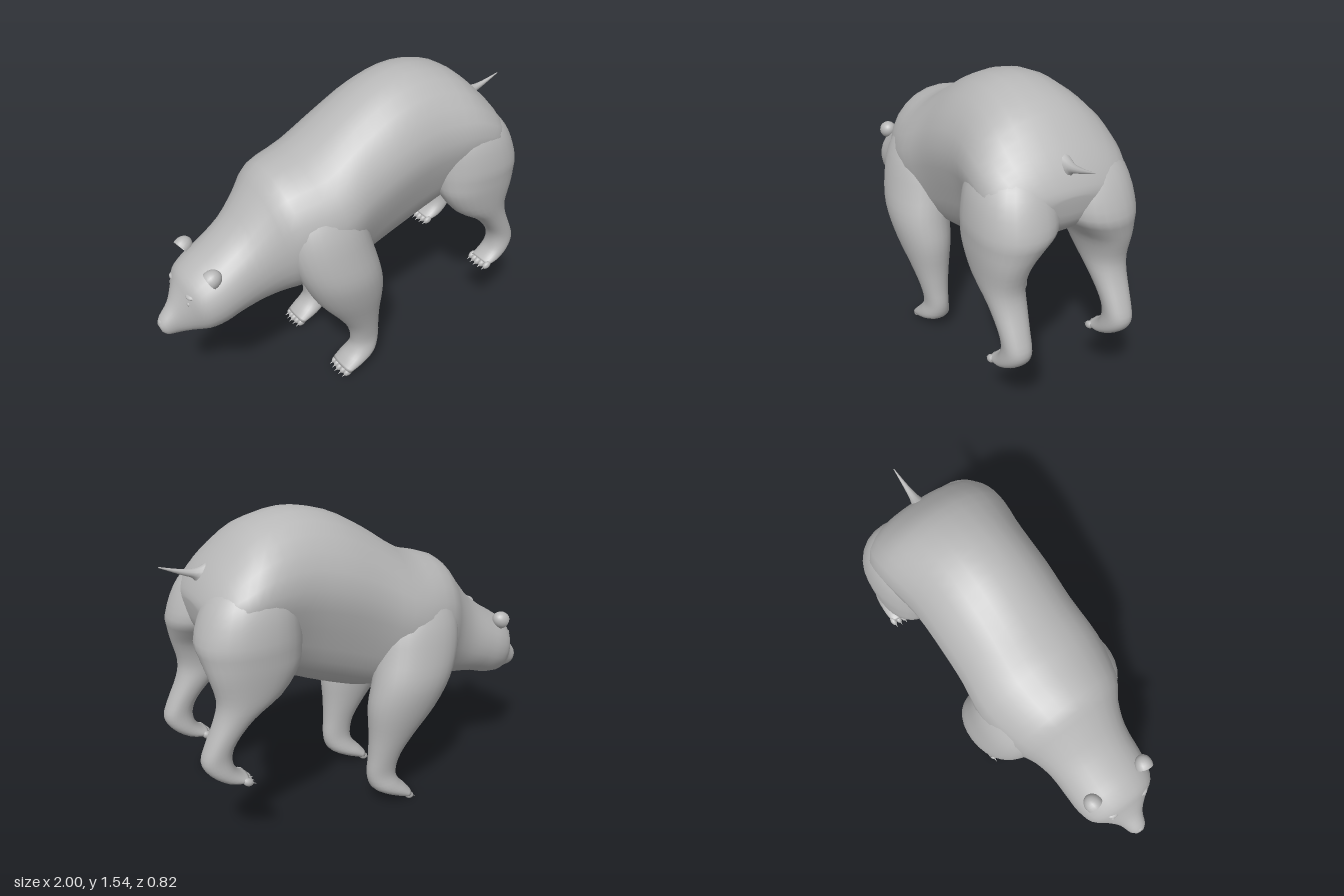
import * as THREE from 'three';

const fur = new THREE.MeshStandardMaterial({ color: 0xb8b8b8 });
fur.name = 'grey fur';
const furOpen = new THREE.MeshStandardMaterial({ color: 0xb8b8b8, side: THREE.DoubleSide });
furOpen.name = 'grey fur thin';

// Smooth loft through oval rings. Each row: [x1, y1, x2, y2, zCentre, zHalf, tuck],
// two opposite rim points in the side plane, the ring's place and half width in z,
// and how far the second half of the ring is narrowed.
function loft(rows, power = 2, steps = 3, sides = 28) {
  const rings = [];
  const at = (i) => rows[Math.max(0, Math.min(rows.length - 1, i))];
  for (let i = 0; i < rows.length - 1; i++) {
    for (let s = 0; s < steps; s++) {
      const t = s / steps;
      rings.push(rows[0].map((_, k) => {
        const [a, b, c, d] = [at(i - 1)[k], at(i)[k], at(i + 1)[k], at(i + 2)[k]];
        return b + 0.5 * t * (c - a + t * (2 * a - 5 * b + 4 * c - d + t * (3 * (b - c) + d - a)));
      }));
    }
  }
  rings.push(rows[rows.length - 1]);
  const pos = [], index = [];
  const bend = (v) => Math.sign(v) * Math.pow(Math.abs(v), 2 / power);
  for (const [x1, y1, x2, y2, zc, hz, tuck = 0] of rings) {
    for (let j = 0; j < sides; j++) {
      const a = (j / sides) * Math.PI * 2;
      const c = bend(Math.cos(a)) / 2;
      const width = hz * (1 - tuck * THREE.MathUtils.smoothstep(-c, -0.15, 0.2));
      pos.push((x1 + x2) / 2 + (x1 - x2) * c, (y1 + y2) / 2 + (y1 - y2) * c, zc + width * bend(Math.sin(a)));
    }
  }
  for (let i = 0; i < rings.length - 1; i++) {
    for (let j = 0; j < sides; j++) {
      const a = i * sides + j, b = i * sides + (j + 1) % sides;
      index.push(a, b, a + sides, b, b + sides, a + sides);
    }
  }
  // End caps
  [0, rings.length - 1].forEach((r) => {
    const [x1, y1, x2, y2, zc] = rings[r];
    const mid = pos.length / 3;
    pos.push((x1 + x2) / 2, (y1 + y2) / 2, zc);
    for (let j = 0; j < sides; j++) {
      const a = r * sides + j, b = r * sides + (j + 1) % sides;
      if (r === 0) index.push(mid, b, a); else index.push(mid, a, b);
    }
  });
  // Turn the faces outward if the signed volume is negative
  let volume = 0;
  const p = (i) => new THREE.Vector3().fromArray(pos, i * 3);
  for (let i = 0; i < index.length; i += 3) volume += p(index[i]).dot(p(index[i + 1]).cross(p(index[i + 2])));
  if (volume < 0) index.reverse();
  const g = new THREE.BufferGeometry();
  g.setAttribute('position', new THREE.Float32BufferAttribute(pos, 3));
  g.setIndex(index);
  g.computeVertexNormals();
  return g;
}

const bodyRows = [
  [-0.998, 0.555, -0.985, 0.51, 0, 0.022, 0],
  [-0.98, 0.59, -0.96, 0.488, 0, 0.045, 0],
  [-0.93, 0.65, -0.90, 0.48, 0, 0.068, 0],
  [-0.89, 0.725, -0.85, 0.485, 0, 0.118, 0],
  [-0.86, 0.785, -0.78, 0.49, 0, 0.182, 0],
  [-0.80, 0.835, -0.70, 0.505, 0, 0.208, 0],
  [-0.72, 0.885, -0.62, 0.53, 0, 0.214, 0],
  [-0.60, 0.98, -0.50, 0.545, 0, 0.22, 0],
  [-0.50, 1.10, -0.40, 0.555, 0, 0.25, 0],
  [-0.40, 1.208, -0.30, 0.565, 0, 0.31, 0.02],
  [-0.20, 1.27, -0.10, 0.58, 0, 0.355, 0.08],
  [0.00, 1.40, 0.05, 0.595, 0, 0.338, 0.13],
  [0.20, 1.505, 0.20, 0.64, 0, 0.335, 0.16],
  [0.40, 1.54, 0.40, 0.72, 0, 0.335, 0.16],
  [0.60, 1.49, 0.58, 0.82, 0, 0.36, 0.14],
  [0.74, 1.38, 0.70, 0.90, 0, 0.355, 0.12],
  [0.82, 1.29, 0.79, 0.97, 0, 0.31, 0.1],
  [0.865, 1.21, 0.845, 1.03, 0, 0.23, 0],
  [0.875, 1.17, 0.865, 1.09, 0, 0.1, 0],
];

const frontLegRows = [
  [-0.33, 1.17, -0.15, 1.19, 0.11, 0.06],
  [-0.38, 1.07, -0.08, 1.10, 0.165, 0.115],
  [-0.41, 0.95, -0.01, 0.98, 0.205, 0.15],
  [-0.40, 0.82, 0.03, 0.82, 0.235, 0.158],
  [-0.35, 0.68, 0.065, 0.68, 0.26, 0.15],
  [-0.27, 0.53, 0.09, 0.55, 0.257, 0.13],
  [-0.16, 0.39, 0.085, 0.40, 0.25, 0.095],
  [-0.085, 0.28, 0.088, 0.28, 0.245, 0.07],
  [-0.06, 0.18, 0.095, 0.18, 0.24, 0.06],
  [-0.075, 0.125, 0.07, 0.10, 0.24, 0.074],
  [-0.11, 0.085, 0.00, 0.052, 0.238, 0.081],
  [-0.14, 0.05, -0.10, 0.012, 0.237, 0.076],
];

const hindLegRows = [
  [0.55, 1.37, 0.69, 1.35, 0.13, 0.08],
  [0.49, 1.27, 0.81, 1.26, 0.16, 0.15],
  [0.45, 1.17, 0.88, 1.165, 0.18, 0.182],
  [0.44, 1.05, 0.925, 1.04, 0.193, 0.191],
  [0.45, 0.97, 0.915, 0.965, 0.222, 0.16],
  [0.475, 0.89, 0.897, 0.89, 0.25, 0.126],
  [0.56, 0.78, 0.87, 0.78, 0.261, 0.1],
  [0.70, 0.685, 0.885, 0.69, 0.26, 0.083],
  [0.79, 0.59, 0.935, 0.58, 0.262, 0.068],
  [0.82, 0.52, 0.962, 0.50, 0.262, 0.064],
  [0.815, 0.46, 0.93, 0.435, 0.262, 0.069],
  [0.785, 0.42, 0.86, 0.383, 0.262, 0.07],
  [0.755, 0.40, 0.785, 0.367, 0.262, 0.065],
];

const tailRows = [
  [0.77, 1.34, 0.83, 1.23, 0, 0.035],
  [0.83, 1.315, 0.85, 1.27, 0, 0.022],
  [0.90, 1.32, 0.905, 1.295, 0, 0.012],
  [0.998, 1.344, 0.999, 1.339, 0, 0.002],
];

export function createModel() {
  const model = new THREE.Group();
  model.name = 'bear';
  const add = (name, geometry, material = fur) => {
    const mesh = new THREE.Mesh(geometry, material);
    mesh.name = name;
    model.add(mesh);
    return mesh;
  };
  const ball = (name, x, y, z, sx, sy, sz) => {
    const mesh = add(name, new THREE.SphereGeometry(1, 14, 10));
    mesh.position.set(x, y, z);
    mesh.scale.set(sx, sy, sz);
    return mesh;
  };

  add('bodyAndHead', loft(bodyRows, 2.1));
  add('tail', loft(tailRows, 2, 3, 10));
  ball('nose', -0.975, 0.56, 0, 0.022, 0.022, 0.026);

  // Five toes with claws across the front of a paw
  const toes = (name, x, y, z) => {
    for (let i = -2; i <= 2; i++) {
      const back = Math.abs(i) * 0.005, tz = z + i * 0.029;
      ball(name + 'Toe', x + back, y, tz, 0.027, 0.019, 0.0165).rotation.z = 0.5;
      const claw = add(name + 'Claw', new THREE.ConeGeometry(0.007, 0.035, 6));
      claw.position.set(x - 0.025 + back, y - 0.011, tz);
      claw.rotation.z = Math.PI * 0.64;
    }
  };

  for (const s of [1, -1]) {
    const side = s > 0 ? 'left' : 'right';
    const mirrored = (rows) => rows.map((r) => r.map((v, k) => (k === 4 ? v * s : v)));
    add(side + 'FrontLeg', loft(mirrored(frontLegRows), 2.1));
    add(side + 'HindLeg', loft(mirrored(hindLegRows), 2.2));
    toes(side + 'Front', -0.13, 0.026, 0.237 * s);
    toes(side + 'Hind', 0.76, 0.38, 0.262 * s);

    // Cupped ear opening forward, set low on the head
    const ear = add(side + 'Ear', new THREE.SphereGeometry(1, 16, 8, 0, Math.PI * 2, 0, Math.PI * 0.55), furOpen);
    ear.scale.set(0.045, 0.055, 0.045);
    ear.position.set(-0.775, 0.825, 0.155 * s);
    ear.rotation.set(0.3 * s, 0, -Math.PI * 0.3);

    // Eye and brow, mostly sunk into the face
    ball(side + 'Eye', -0.868, 0.69, 0.098 * s, 0.013, 0.012, 0.013);
    ball(side + 'Brow', -0.85, 0.725, 0.09 * s, 0.03, 0.016, 0.035);
  }
  return model;
}
